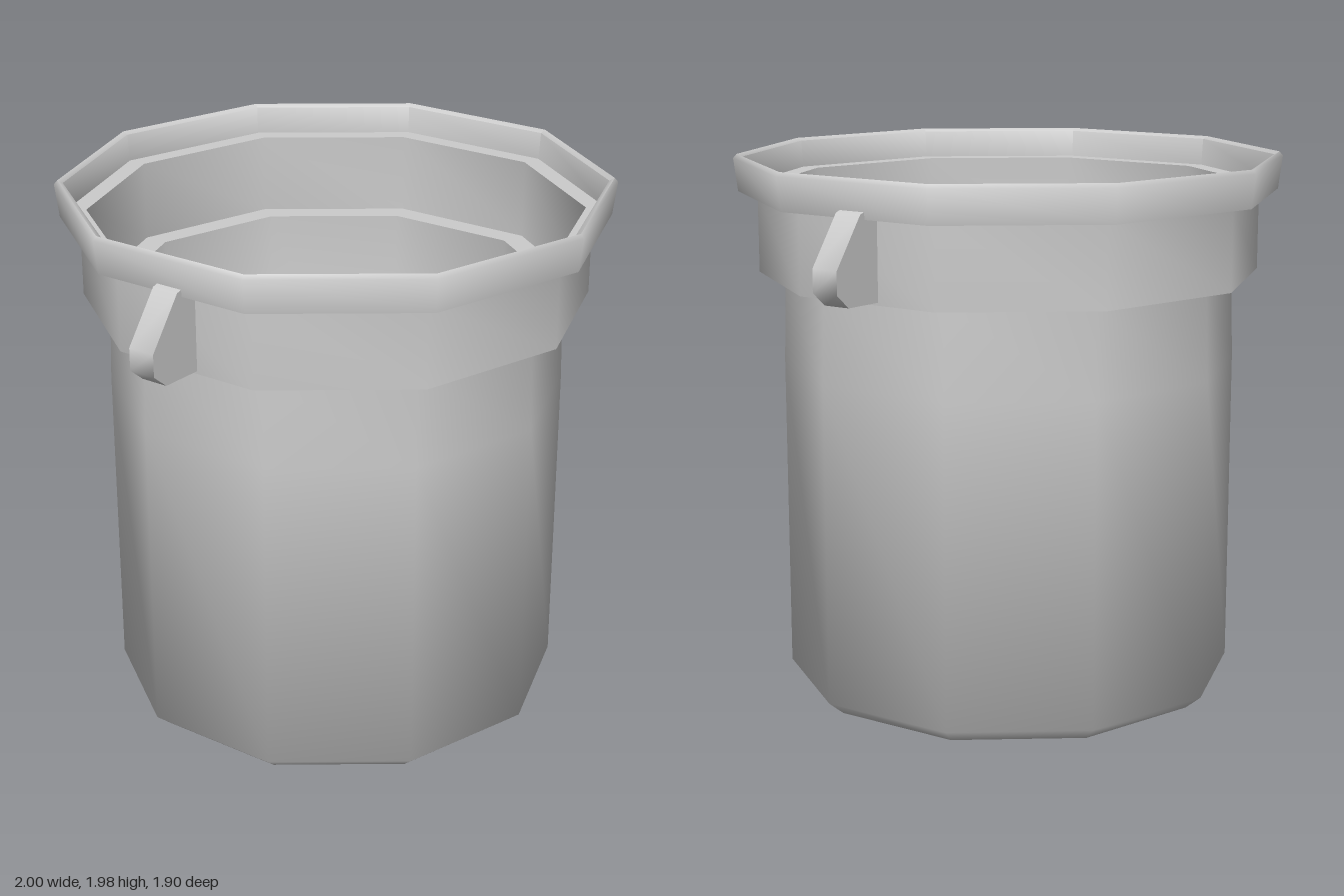
import * as THREE from 'three';
import { toCreasedNormals } from 'three/addons/utils/BufferGeometryUtils.js';

const CREASE = Math.PI / 3;
const SIDES = 10;
const grey = new THREE.MeshStandardMaterial({ color: 0xcccccc });
const points = (list) => list.map(([x, y]) => new THREE.Vector2(x, y));

// Ten-sided hollow vessel: outer wall upward, then inner wall back down
function makeVessel() {
  const profile = points([
    // base and body
    [0, 0], [0.77, 0], [0.83, 0.05], [0.83, 1.22], [0.82, 1.545],
    // collar
    [0.915, 1.545], [0.915, 1.84],
    // rim
    [0.985, 1.84], [1.0, 1.96], [0.987, 1.975], [0.968, 1.965],
    // stepped inside
    [0.96, 1.865], [0.89, 1.865], [0.89, 1.57], [0.8, 1.57],
    [0.79, 0.1], [0.75, 0.05], [0, 0.05],
  ]);
  const geometry = new THREE.LatheGeometry(profile, SIDES, Math.PI / 2);
  const mesh = new THREE.Mesh(toCreasedNormals(geometry, CREASE), grey);
  mesh.name = 'vessel';
  return mesh;
}

// Lug under the rim; its side outline runs outward along local x
function makeLug(angle, name) {
  const outline = new THREE.Shape(points([
    [0.86, 1.555], [1.03, 1.56], [1.09, 1.61], [1.09, 1.69],
    [0.96, 1.86], [0.925, 1.87], [0.925, 1.84], [0.86, 1.84],
  ]));
  const width = 0.1;
  const geometry = new THREE.ExtrudeGeometry(outline, { depth: width, bevelEnabled: false });
  geometry.translate(0, 0, -width / 2);
  const mesh = new THREE.Mesh(toCreasedNormals(geometry, CREASE), grey);
  mesh.rotation.y = angle;
  mesh.name = name;
  return mesh;
}

export function createModel() {
  const model = new THREE.Group();
  model.name = 'bucket';
  model.add(makeVessel());

  // Two opposite lugs, each centred on a flat side
  const frontAngle = -THREE.MathUtils.degToRad(126);
  model.add(makeLug(frontAngle, 'frontLug'));
  model.add(makeLug(frontAngle + Math.PI, 'backLug'));
  return model;
}
